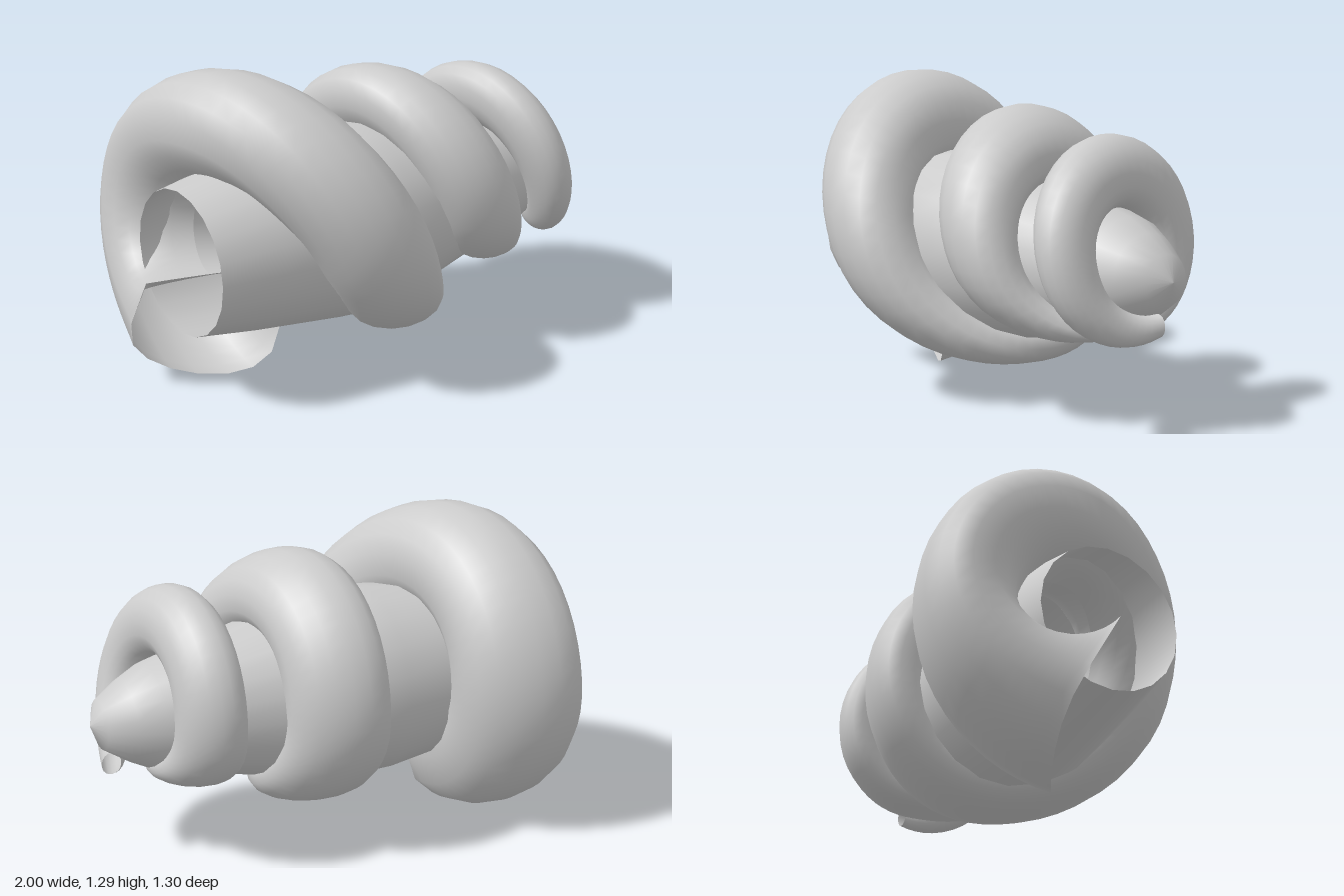
import * as THREE from 'three';

const AXIS_Y = 0.575, AXIS_Z = 0.03;

// Coil keys, one per quarter turn (bottom, back, top, front, ...):
// centre x, half width, outer radius, centre radius, depth below centre, tilt
const KEYS = [
  [-0.70, 0.30, 0.605, 0.10, 0.00, -0.03],
  [-0.63, 0.245, 0.68, 0.46, 0.19, 0.05],
  [-0.57, 0.24, 0.695, 0.46, 0.20, 0.02],
  [-0.25, 0.23, 0.615, 0.41, 0.16, -0.02],
  [0.12, 0.22, 0.445, 0.33, 0.10, 0.00],
  [0.125, 0.19, 0.54, 0.38, 0.14, 0.05],
  [0.16, 0.19, 0.59, 0.42, 0.15, 0.04],
  [0.35, 0.17, 0.475, 0.33, 0.11, -0.01],
  [0.63, 0.15, 0.265, 0.20, 0.06, 0.00],
  [0.63, 0.125, 0.435, 0.31, 0.12, 0.04],
  [0.645, 0.12, 0.51, 0.37, 0.13, 0.025],
  [0.775, 0.09, 0.40, 0.28, 0.10, 0.01],
  [0.92, 0.04, 0.215, 0.17, 0.045, 0.00],
];

// Skewed oval tube swept around the core in three leaning turns
function coilGeometry(steps = 144, sides = 18) {
  const curve = (pick) => new THREE.CatmullRomCurve3(KEYS.map(pick), false, 'catmullrom', 0.5);
  const band = curve((k) => new THREE.Vector3(k[0], k[1], k[2]));
  const section = curve((k) => new THREE.Vector3(k[3], k[4], k[5]));
  const pos = [], index = [];
  for (let i = 0; i <= steps; i++) {
    const t = i / steps;
    const { x: cx, y: width, z: outer } = band.getPoint(t);
    const { x: mid, y: depth, z: tilt } = section.getPoint(t);
    const height = Math.sqrt((outer - mid) ** 2 - tilt ** 2);
    // The wide end is boxier and cut at a slant
    const fade = (1 - t) ** 16;
    const lean = 0.043 * fade, power = 0.85 - 0.45 * fade;
    for (let j = 0; j <= sides; j++) {
      const a = (2 * Math.PI * j) / sides - Math.PI / 2;
      const s = Math.sin(a), c = Math.cos(a);
      const r = mid + tilt * c + (s > 0 ? height * s ** power : depth * s);
      const turn = 2 * Math.PI * (3 * t + lean * (1 + c));
      pos.push(cx - width * c, AXIS_Y - r * Math.cos(turn), AXIS_Z - r * Math.sin(turn));
      if (i < steps && j < sides) {
        const p = i * (sides + 1) + j, q = p + sides + 1;
        index.push(p, q, p + 1, q, q + 1, p + 1);
      }
    }
  }
  const geometry = new THREE.BufferGeometry();
  geometry.setAttribute('position', new THREE.Float32BufferAttribute(pos, 3));
  geometry.setIndex(index);
  geometry.computeVertexNormals();
  return geometry;
}

export function createModel() {
  const group = new THREE.Group();
  const material = new THREE.MeshStandardMaterial({ color: 0xcccccc, side: THREE.DoubleSide });

  // Hollow core, open at the wide end and pointed at the other
  const profile = [
    [0.29, -0.865], [0.335, -0.6], [0.39, -0.2], [0.375, 0], [0.345, 0.2],
    [0.255, 0.6], [0.215, 0.76], [0.165, 0.86], [0.1, 0.96], [0, 1],
  ].map(([r, x]) => new THREE.Vector2(r, x));
  const core = new THREE.Mesh(new THREE.LatheGeometry(profile, 20), material);
  core.name = 'core';
  core.rotation.z = -Math.PI / 2;
  core.position.set(0, AXIS_Y, AXIS_Z);

  // Spiral coil
  const coil = new THREE.Mesh(coilGeometry(), material);
  coil.name = 'spiralCoil';

  group.add(core, coil);
  return group;
}
